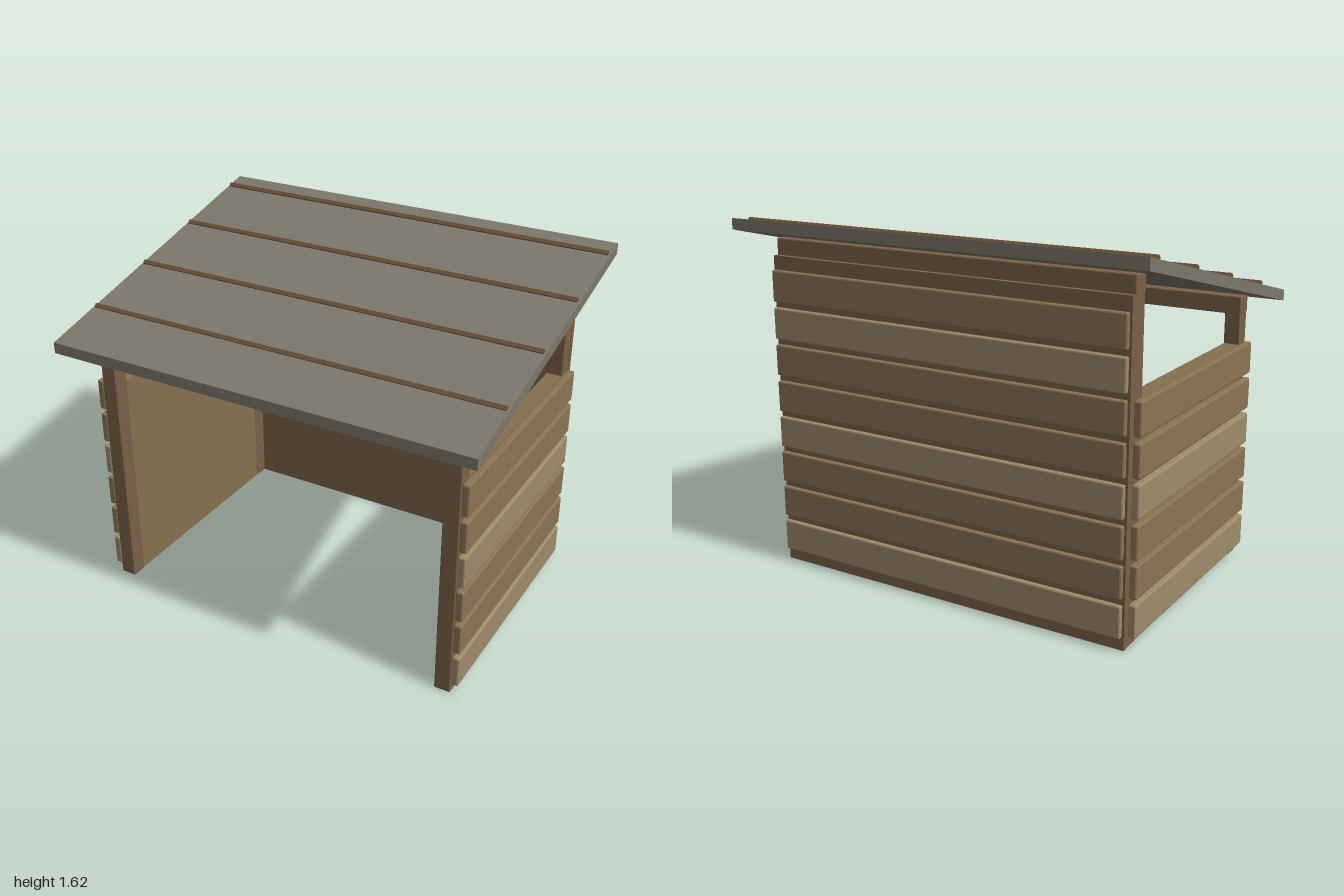
import * as THREE from 'three';
import { RoundedBoxGeometry } from 'three/addons/geometries/RoundedBoxGeometry.js';

const mat = (color) => new THREE.MeshStandardMaterial({ color, flatShading: true });
const frameMat = mat(0x7a6248);
const panelMat = mat(0x86704f);
const plankMat = mat(0x8a7454);
const lightPlankMat = mat(0x9e8b6b);
const roofMat = mat(0x7d786c);
const battenMat = mat(0x6b5138);

export function createModel() {
  const model = new THREE.Group();
  model.name = 'shelter';

  // Box given by its min and max corners, with an optional softened edge
  function block(name, material, [x0, y0, z0], [x1, y1, z1], bevel = 0) {
    const size = [x1 - x0, y1 - y0, z1 - z0];
    const geometry = bevel
      ? new RoundedBoxGeometry(...size, 1, bevel)
      : new THREE.BoxGeometry(...size);
    const mesh = new THREE.Mesh(geometry, material);
    mesh.name = name;
    mesh.position.set((x0 + x1) / 2, (y0 + y1) / 2, (z0 + z1) / 2);
    model.add(mesh);
    return mesh;
  }

  const pitch = 0.169;
  const plankHeight = 0.145;
  const plankMaterial = (i) => (i % 3 === 0 ? lightPlankMat : plankMat);

  // Posts, side walls and side planks, mirrored left and right
  for (const [side, s] of [['left', 1], ['right', -1]]) {
    const span = (a, b) => (s > 0 ? [a, b] : [-b, -a]);
    const [p0, p1] = span(0.805, 0.88);
    block(side + 'FrontPost', frameMat, [p0, 0, 0.505], [p1, 1.24, 0.58], 0.005);
    block(side + 'BackPost', frameMat, [p0, 0, -0.58], [p1, 1.51, -0.505], 0.005);

    const [w0, w1] = span(0.808, 0.877);
    block(side + 'WallPanel', panelMat, [w0, 0.003, -0.507], [w1, 1.03, 0.507]);

    const [k0, k1] = span(0.88, 0.914);
    for (let i = 0; i < 6; i++) {
      const y = 0.045 + i * pitch;
      block(side + 'Plank' + (i + 1), plankMaterial(i),
        [k0, y, -0.578], [k1, y + plankHeight, 0.578], 0.007);
    }
  }

  // Beams under the roof
  block('frontBeam', frameMat, [-0.881, 1.17, 0.501], [0.881, 1.252, 0.584], 0.005);
  block('backBeam', frameMat, [-0.881, 1.44, -0.584], [0.881, 1.52, -0.501], 0.005);

  // Back wall with its planks
  block('backPanel', frameMat, [-0.88, 0, -0.61], [0.88, 1.445, -0.58]);
  for (let i = 0; i < 8; i++) {
    const y = 0.058 + i * pitch;
    block('backPlank' + (i + 1), plankMaterial(i),
      [-0.873, y, -0.637], [0.873, y + 0.143, -0.61], 0.007);
  }

  // Sloping roof: side profile (z, y) with plumb-cut ends, extruded across x
  const roofTop = (z) => 1.4375 - z * 0.2432;
  const profile = new THREE.Shape([
    [0.73, roofTop(0.73)], [0.73, roofTop(0.73) - 0.05],
    [-0.73, roofTop(-0.73) - 0.05], [-0.73, roofTop(-0.73)],
  ].map(([z, y]) => new THREE.Vector2(-z, y)));
  const roofGeometry = new THREE.ExtrudeGeometry(profile, { depth: 2, bevelEnabled: false });
  roofGeometry.translate(0, 0, -1).rotateY(Math.PI / 2);
  const roof = new THREE.Mesh(roofGeometry, roofMat);
  roof.name = 'roof';
  model.add(roof);

  // Diamond-section battens across the roof
  [0.45, 0.09, -0.272, -0.634].forEach((z, i) => {
    const batten = new THREE.Mesh(new THREE.CylinderGeometry(0.013, 0.013, 1.98, 4), battenMat);
    batten.name = 'roofBatten' + (i + 1);
    batten.rotation.z = Math.PI / 2;
    batten.position.set(0, roofTop(z) + 0.005, z);
    model.add(batten);
  });

  return model;
}
